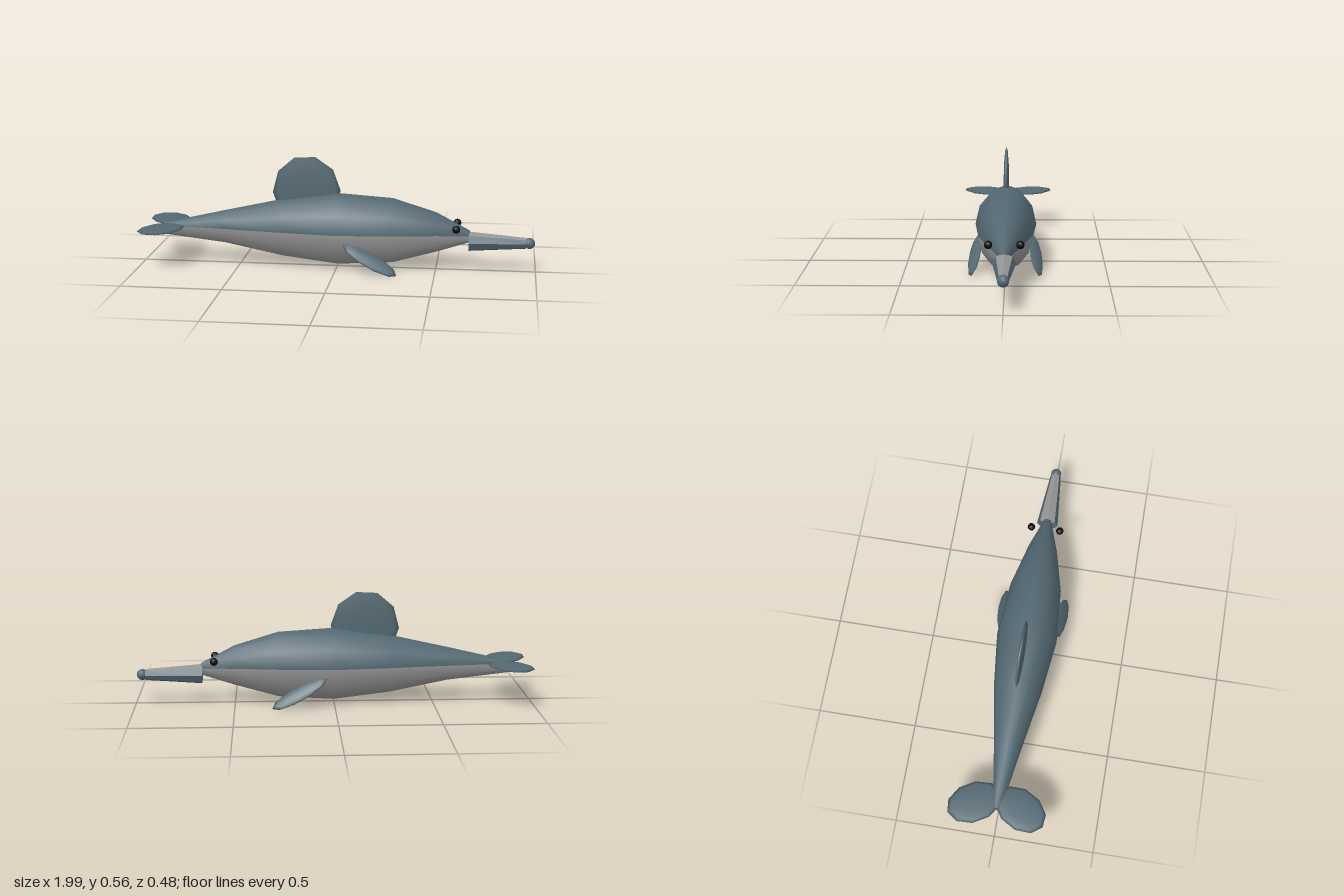
import * as THREE from 'three';

const slate = new THREE.MeshStandardMaterial({ color: 0x536872 });
slate.name = 'slate blue';
const grey = new THREE.MeshStandardMaterial({ color: 0x949494 });
grey.name = 'pale grey';
const black = new THREE.MeshStandardMaterial({ color: 0x0a0a0a });
black.name = 'black';

// Closed loft along x. Each ring is [x, centre y, top y, bottom y, half width].
// Faces whose direction is above minUp get material 0, the others material 1.
function loft(rings, n, minUp, flat) {
  const pos = [], upper = [], lower = [];
  const addRing = ([x, yc, top, bottom, w]) => {
    const start = pos.length / 3;
    for (let j = 0; j < n; j++) {
      const a = (j / n) * Math.PI * 2, c = Math.cos(a);
      pos.push(x, yc + c * (c > 0 ? top - yc : yc - bottom), Math.sin(a) * w);
    }
    return start;
  };
  const starts = rings.map(addRing);
  const side = (j) => (Math.cos(((j + 0.5) / n) * Math.PI * 2) > minUp ? upper : lower);
  for (let i = 0; i < rings.length - 1; i++) {
    for (let j = 0; j < n; j++) {
      const k = (j + 1) % n, p = starts[i], q = starts[i + 1];
      side(j).push(p + j, p + k, q + k, p + j, q + k, q + j);
    }
  }
  // end caps
  [rings[0], rings[rings.length - 1]].forEach((ring, end) => {
    const s = addRing(ring), centre = pos.length / 3;
    pos.push(ring[0], ring[1], 0);
    for (let j = 0; j < n; j++) {
      const k = (j + 1) % n;
      if (end) side(j).push(centre, s + j, s + k);
      else side(j).push(centre, s + k, s + j);
    }
  });
  let geo = new THREE.BufferGeometry();
  geo.setAttribute('position', new THREE.Float32BufferAttribute(pos, 3));
  geo.setIndex([...upper, ...lower]);
  if (flat) geo = geo.toNonIndexed();
  geo.computeVertexNormals();
  geo.addGroup(0, upper.length, 0);
  geo.addGroup(upper.length, lower.length, 1);
  return geo;
}

// Flattened ellipsoid blade: long axis u, broad axis v, half sizes [long, broad, thick]
function blade(name, centre, u, v, size) {
  const U = new THREE.Vector3(...u).normalize();
  const W = new THREE.Vector3().crossVectors(U, new THREE.Vector3(...v)).normalize();
  const V = new THREE.Vector3().crossVectors(W, U);
  const geo = new THREE.SphereGeometry(1, 10, 6);
  geo.rotateX(Math.PI / 2); // poles on the thin axis
  geo.scale(...size);
  geo.applyMatrix4(new THREE.Matrix4().makeBasis(U, V, W).setPosition(...centre));
  const mesh = new THREE.Mesh(geo, slate);
  mesh.name = name;
  return mesh;
}

export function createModel() {
  const model = new THREE.Group();
  model.name = 'dolphin';

  // body: dark back, pale belly
  const body = new THREE.Mesh(loft([
    [-0.9, 0.195, 0.205, 0.147, 0.02],
    [-0.58, 0.198, 0.28, 0.11, 0.07],
    [-0.28, 0.2, 0.347, 0.05, 0.122],
    [0, 0.2, 0.385, 0.016, 0.154],
    [0.28, 0.2, 0.367, 0.033, 0.132],
    [0.5, 0.195, 0.3, 0.095, 0.077],
    [0.67, 0.185, 0.21, 0.15, 0.02],
  ], 12, 0, false), [slate, grey]);
  body.name = 'body';
  model.add(body);

  // beak: pale ridge on top
  const beak = new THREE.Mesh(loft([
    [0.665, 0.156, 0.205, 0.105, 0.055],
    [0.95, 0.153, 0.181, 0.125, 0.028],
  ], 8, 0.8, true), [grey, slate]);
  beak.name = 'beak';
  model.add(beak);

  // rounded beak tip
  const tip = new THREE.Mesh(new THREE.SphereGeometry(0.028, 10, 8), slate);
  tip.name = 'beakTip';
  tip.position.set(0.967, 0.153, 0);
  model.add(tip);

  // dorsal fin
  const t = 0.05;
  model.add(blade('dorsalFin', [-0.157, 0.39, 0],
    [Math.cos(t), Math.sin(t), 0], [-Math.sin(t), Math.cos(t), 0], [0.173, 0.183, 0.014]));

  // paired parts
  for (const s of [1, -1]) {
    const label = s > 0 ? 'front' : 'back';
    model.add(blade(label + 'Fluke', [-0.887, 0.2, s * 0.115],
      [-0.5, 0, s * 0.866], [0.866, 0, s * 0.5], [0.14, 0.1, 0.012]));
    model.add(blade(label + 'Flipper', [0.178, 0.08, s * 0.152],
      [0.135, -0.072, s * 0.012], [-0.33, -0.62, s * 0.7], [0.155, 0.043, 0.013]));
    const eye = new THREE.Mesh(new THREE.SphereGeometry(0.02, 10, 8), black);
    eye.name = label + 'Eye';
    eye.position.set(0.603, 0.231, s * 0.075);
    model.add(eye);
  }
  return model;
}
